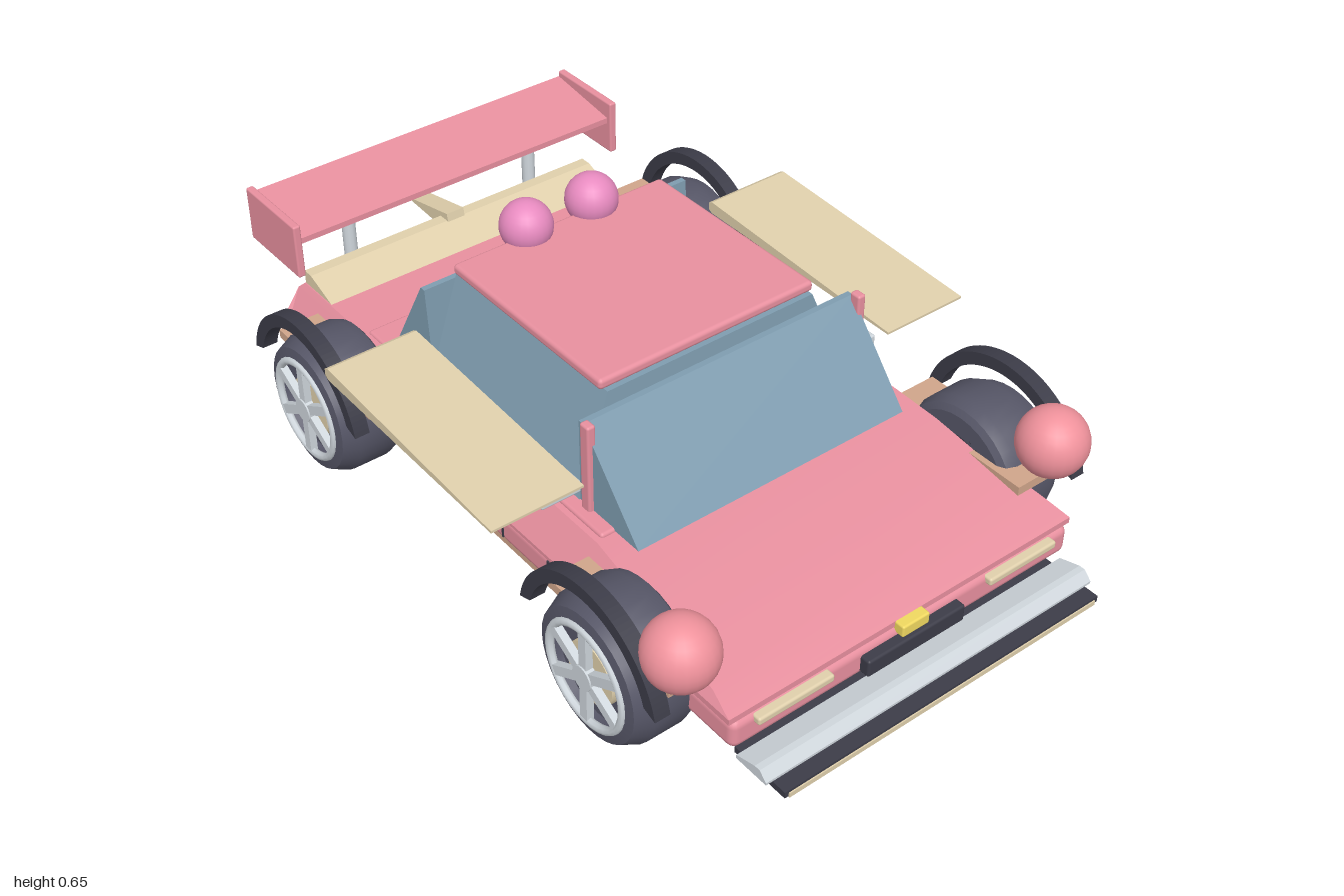
import * as THREE from 'three';
import { RoundedBoxGeometry } from 'three/addons/geometries/RoundedBoxGeometry.js';
import { toCreasedNormals } from 'three/addons/utils/BufferGeometryUtils.js';

const mat = (color) => new THREE.MeshStandardMaterial({ color });
const PINK = mat(0xe8909f), GLASS = mat(0x7f9db0), DARK = mat(0x3c3c48), TYRE = mat(0x565667),
  CREAM = mat(0xe0d0ac), TAN = mat(0xd0a58a), SILVER = mat(0xcfd6dc), RED = mat(0xd04050),
  YELLOW = mat(0xf0d860), LAMP = mat(0xf0929c), BEACON = mat(0xe88bc0);

export function createModel() {
  const car = new THREE.Group();
  car.name = 'car';

  const add = (name, geo, material, parent = car) => {
    const m = new THREE.Mesh(geo, material);
    m.name = name;
    parent.add(m);
    return m;
  };
  // Box given by its min/max on each axis; r > 0 rounds the edges
  const box = (name, material, [x0, x1], [y0, y1], [z0, z1], r = 0) => {
    const s = [x1 - x0, y1 - y0, z1 - z0];
    const m = add(name, r ? new RoundedBoxGeometry(...s, 2, r) : new THREE.BoxGeometry(...s), material);
    m.position.set((x0 + x1) / 2, (y0 + y1) / 2, (z0 + z1) / 2);
    return m;
  };
  // The same box on both sides of the car
  const pair = (name, material, [x0, x1], y, z, r) => {
    box(name + 'Left', material, [x0, x1], y, z, r);
    box(name + 'Right', material, [-x1, -x0], y, z, r);
  };
  // Side outline of [z, y] points, extruded across x
  const sideExtrude = (points, halfWidth) => {
    const shape = new THREE.Shape(points.map(([z, y]) => new THREE.Vector2(-z, y)));
    const g = new THREE.ExtrudeGeometry(shape, { depth: halfWidth * 2, bevelEnabled: false });
    return g.translate(0, 0, -halfWidth).rotateY(Math.PI / 2);
  };

  // Body: flanks lean inward towards the top
  const upper = sideExtrude([[0.865, 0.205], [0.865, 0.22], [0.8, 0.24], [0.6, 0.27], [0.37, 0.297],
    [-0.82, 0.3], [-0.835, 0.285], [-0.835, 0.225], [-0.82, 0.205]], 0.48);
  const p = upper.attributes.position;
  for (let i = 0; i < p.count; i++) {
    const t = Math.max(0, (p.getY(i) - 0.22) / 0.08);
    p.setX(i, p.getX(i) * (1 - 0.12 * t));
  }
  upper.computeVertexNormals();
  add('upperBody', toCreasedNormals(upper, 0.4), PINK);
  box('lowerBody', PINK, [-0.475, 0.475], [0.13, 0.205], [-0.835, 0.872], 0.02);
  box('floor', DARK, [-0.44, 0.44], [0.108, 0.14], [-0.83, 0.84]);
  box('cabinBase', PINK, [-0.41, 0.41], [0.28, 0.306], [-0.55, 0.365], 0.008);
  pair('sill', TAN, [0.4, 0.465], [0.112, 0.132], [-0.39, 0.41]);
  pair('doorHandle', SILVER, [0.46, 0.482], [0.185, 0.198], [-0.19, -0.11]);
  for (const z of [0.26, 0.09, -0.12, -0.23]) {
    pair('panelLine', DARK, [0.46, 0.477], [0.145, 0.195], [z - 0.003, z + 0.003]);
  }

  // Cabin: tapered glass block, screens front and back, roof
  const glass = new THREE.BoxGeometry(0.76, 0.24, 0.6).translate(0, 0.42, -0.055);
  const gp = glass.attributes.position;
  for (let i = 0; i < gp.count; i++) {
    if (gp.getY(i) > 0.5) gp.setXYZ(i, Math.sign(gp.getX(i)) * 0.285, 0.54, gp.getZ(i) > 0 ? 0.225 : -0.335);
  }
  glass.computeVertexNormals();
  add('sideWindows', glass, GLASS);
  add('windscreen', sideExtrude([[0.445, 0.3], [0.26, 0.52], [0.245, 0.52], [0.245, 0.3]], 0.375), GLASS);
  add('rearWindow', sideExtrude([[-0.32, 0.3], [-0.335, 0.525], [-0.35, 0.525], [-0.478, 0.3]], 0.375), GLASS);
  box('roof', PINK, [-0.297, 0.297], [0.538, 0.565], [-0.335, 0.215], 0.01);
  pair('pillar', PINK, [0.365, 0.387], [0.295, 0.532], [0.262, 0.292], 0.006);
  pair('mirror', SILVER, [0.37, 0.475], [0.325, 0.353], [0.18, 0.245], 0.005);

  // Side wings: thin at the front, thicker at the back
  for (const s of [1, -1]) {
    const g = sideExtrude([[0.33, 0.424], [0.33, 0.43], [-0.295, 0.461], [-0.307, 0.455], [-0.307, 0.437], [-0.295, 0.43]], 0.115);
    add('sideWing', g, CREAM).position.x = s * 0.542;
  }

  // Round lamps on fenders and roof
  for (const s of [1, -1]) {
    add('fenderLamp', new THREE.SphereGeometry(0.083, 24, 16), LAMP).position.set(s * 0.517, 0.347, 0.76);
    add('roofBeacon', new THREE.SphereGeometry(0.064, 24, 16), BEACON).position.set(s * 0.093, 0.586, -0.335);
  }

  // Nose
  pair('headlight', CREAM, [0.22, 0.42], [0.18, 0.2], [0.86, 0.887], 0.006);
  box('numberPlate', DARK, [-0.137, 0.137], [0.143, 0.187], [0.86, 0.897], 0.006);
  box('noseBadge', YELLOW, [-0.038, 0.038], [0.19, 0.22], [0.85, 0.89], 0.005);
  add('bumperBlade', sideExtrude([[0.87, 0.106], [0.96, 0.106], [0.96, 0.112], [0.94, 0.132], [0.925, 0.132], [0.87, 0.115]], 0.462), SILVER);
  box('splitter', DARK, [-0.445, 0.445], [0.09, 0.106], [0.845, 0.997]);
  box('splitterLip', CREAM, [-0.435, 0.435], [0.088, 0.1], [0.98, 1.0]);

  // Tail
  pair('tailLight', RED, [0.22, 0.4], [0.18, 0.2], [-0.855, -0.82], 0.006);
  box('rearPlate', SILVER, [-0.13, 0.13], [0.15, 0.19], [-0.846, -0.82]);
  for (let i = -2; i <= 2; i++) {
    box('diffuserFin', DARK, [i * 0.112 - 0.007, i * 0.112 + 0.007], [0.088, 0.15], [-1, -0.82]);
  }
  for (const s of [1, -1]) {
    const pipe = add('exhaust', new THREE.CylinderGeometry(0.018, 0.018, 0.1, 16).rotateX(Math.PI / 2), SILVER);
    pipe.position.set(s * 0.165, 0.14, -0.87);
    add('wingSupport', new THREE.CylinderGeometry(0.017, 0.017, 0.19, 12), SILVER).position.set(s * 0.27, 0.385, -0.853);
  }
  add('deckLip', sideExtrude([[-0.7, 0.3], [-0.79, 0.335], [-0.82, 0.335], [-0.82, 0.3]], 0.42), CREAM);
  add('deckFin', sideExtrude([[-0.78, 0.3], [-0.79, 0.355], [-0.955, 0.318], [-0.955, 0.31]], 0.025), CREAM);
  add('rearWing', sideExtrude([[-0.755, 0.46], [-0.755, 0.475], [-0.965, 0.505], [-0.965, 0.488]], 0.46), PINK);
  pair('wingEndplate', PINK, [0.455, 0.475], [0.377, 0.52], [-0.968, -0.742], 0.005);

  // Wheels, built facing +x and turned round for the right side
  const profile = [[0.1, -0.08], [0.15, -0.08], [0.165, -0.07], [0.174, -0.045], [0.174, 0.045], [0.155, 0.085], [0.13, 0.09], [0.125, 0.06], [0, 0.06]];
  const tyreGeo = toCreasedNormals(
    new THREE.LatheGeometry(profile.map(([r, h]) => new THREE.Vector2(r, h)), 32).rotateZ(-Math.PI / 2), 0.5);
  const disc = (r, h) => new THREE.CylinderGeometry(r, r, h, 24).rotateZ(-Math.PI / 2);
  const arch = new THREE.Shape();
  arch.absarc(0, 0, 0.23, 0.2, Math.PI - 0.2, false);
  arch.absarc(0, 0, 0.198, Math.PI - 0.3, 0.3, true);
  const archGeo = new THREE.ExtrudeGeometry(arch, { depth: 0.038, bevelEnabled: false, curveSegments: 24 })
    .translate(0, 0, 0.05).rotateY(Math.PI / 2);

  for (const z of [0.565, -0.53]) for (const s of [1, -1]) {
    const wheel = new THREE.Group();
    wheel.name = 'wheel';
    wheel.position.set(s * 0.515, 0.177, z);
    if (s < 0) wheel.rotation.y = Math.PI;
    car.add(wheel);
    add('tyre', tyreGeo, TYRE, wheel);
    add('innerHub', disc(0.11, 0.02), DARK, wheel).position.x = -0.07;
    add('rimRing', new THREE.TorusGeometry(0.123, 0.01, 8, 32).rotateY(Math.PI / 2), SILVER, wheel).position.x = 0.088;
    add('brakeDisc', disc(0.075, 0.02), CREAM, wheel).position.x = 0.068;
    add('hubCap', disc(0.03, 0.045), SILVER, wheel).position.x = 0.077;
    for (let i = 0; i < 6; i++) {
      const spoke = add('spoke', new THREE.BoxGeometry(0.018, 0.105, 0.024).translate(0.087, 0.07, 0), SILVER, wheel);
      spoke.rotation.x = (i * Math.PI) / 3;
    }
    add('wheelArch', archGeo, DARK, wheel).position.y = 0.008;
    const x = s > 0 ? [0.42, 0.55] : [-0.55, -0.42];
    box('archPlate', TAN, x, [0.245, 0.268], [z - 0.2, z + 0.2]);
  }
  return car;
}
